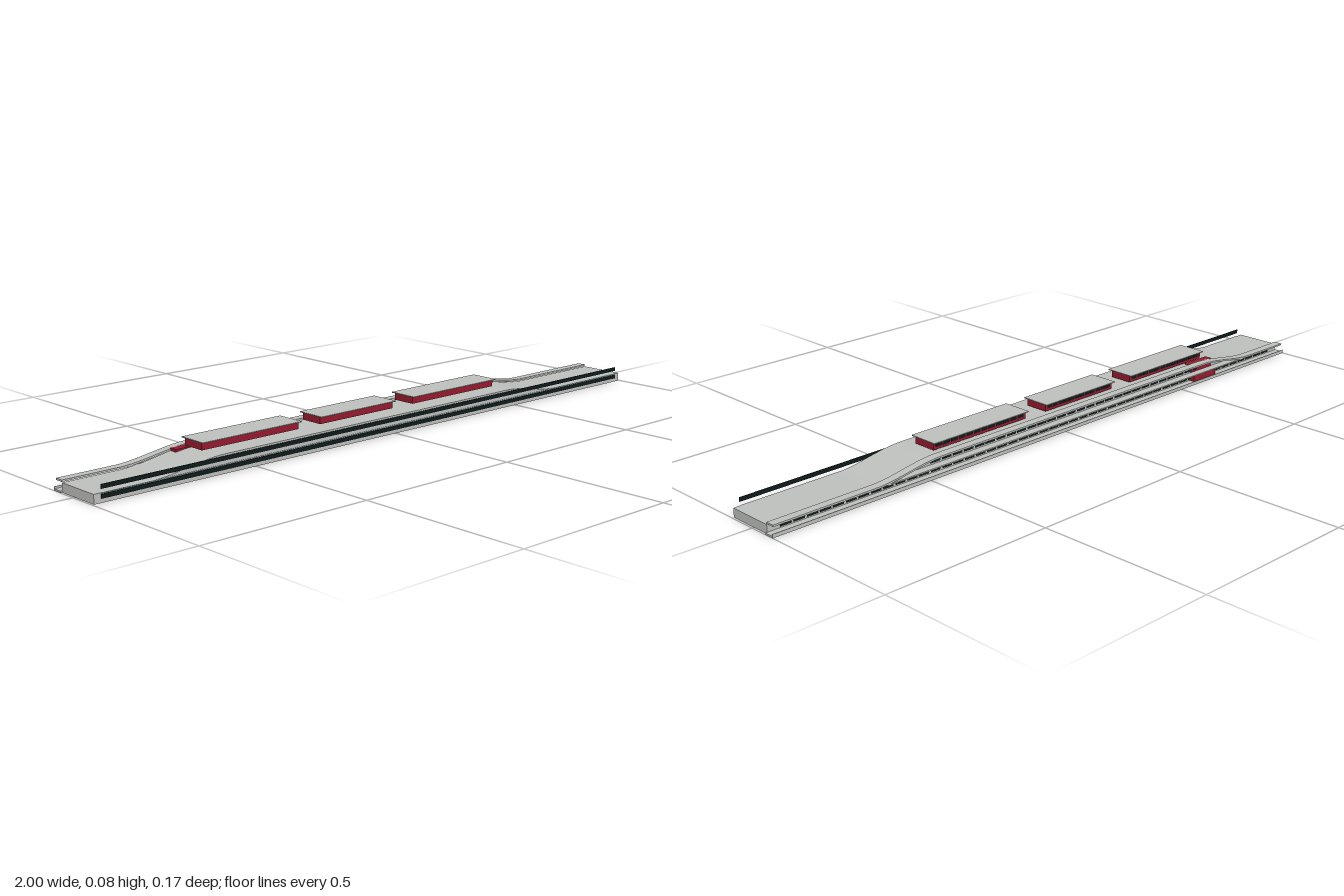
import * as THREE from 'three';

const material = (name, color, side = THREE.FrontSide) => {
  const m = new THREE.MeshStandardMaterial({ color, side });
  m.name = name;
  return m;
};

export function createModel() {
  const group = new THREE.Group();
  const concrete = material('pale concrete', 0xbfc1be);
  const red = material('deep red', 0x981a2e);
  const glass = material('dark glass', 0x101b1b);
  const trim = material('blue grey trim', 0x8fa3a5);

  // Box given by its minimum and maximum on each axis
  const box = (name, mat, x0, x1, y0, y1, z0, z1) => {
    const mesh = new THREE.Mesh(new THREE.BoxGeometry(x1 - x0, y1 - y0, z1 - z0), mat);
    mesh.position.set((x0 + x1) / 2, (y0 + y1) / 2, (z0 + z1) / 2);
    mesh.name = name;
    group.add(mesh);
    return mesh;
  };

  // Smooth rise of the roof: 0 at the ends, 1 along the middle
  const rise = x => THREE.MathUtils.smoothstep(x, -0.83, -0.6) * (1 - THREE.MathUtils.smoothstep(x, 0.46, 0.68));
  const xs = [-0.995];
  for (let i = 0; i <= 16; i++) xs.push(-0.83 + 0.23 * i / 16);
  for (let i = 0; i <= 16; i++) xs.push(0.46 + 0.22 * i / 16);
  xs.push(0.995);

  // Long section with a wavy top, extruded from back to front
  const wavy = (name, top, bottom, z0, z1) => {
    const points = xs.map(x => new THREE.Vector2(x, bottom(x)));
    points.push(...xs.slice().reverse().map(x => new THREE.Vector2(x, top(x))));
    const geometry = new THREE.ExtrudeGeometry(new THREE.Shape(points), { depth: z1 - z0, bevelEnabled: false });
    geometry.translate(0, 0, z0);
    const mesh = new THREE.Mesh(geometry, concrete);
    mesh.name = name;
    group.add(mesh);
  };

  // Main hall and the raised canopy along its back
  wavy('mainBody', x => 0.0255 + 0.0265 * rise(x), () => 0, -0.055, 0.083);
  wavy('backCanopy', x => 0.032 + 0.025 * rise(x), x => 0.027 + 0.025 * rise(x), -0.081, -0.055);

  // Ground terrace, its low kerb and the upper gallery floor
  box('terraceSlab', concrete, -1, 1, 0, 0.005, -0.084, -0.055);
  box('terraceKerb', concrete, -1, 1, 0.005, 0.0105, -0.0845, -0.0825);
  box('galleryFloor', concrete, -0.8, 0.64, 0.0255, 0.029, -0.08, -0.055);

  // Front window bands; the upper one runs on past the low ends of the roof
  for (const y of [0.011, 0.0355]) {
    box('frontWindowBand', glass, -0.975, 0.975, y, y + 0.0115, 0.083, 0.0855);
  }
  box('frontTrim', trim, -0.975, 0.975, 0.0235, 0.0255, 0.083, 0.0845);

  // Back windows on both storeys
  const windowRow = (name, x0, x1, count, y0, y1, z) => {
    const step = (x1 - x0) / count;
    for (let i = 0; i < count; i++) {
      const x = x0 + i * step;
      box(name, glass, x + step * 0.08, x + step * 0.92, y0, y1, z - 0.001, z + 0.0005);
    }
  };
  windowRow('lowerBackWindow', -0.96, 0.96, 48, 0.008, 0.021, -0.055);
  windowRow('upperBackWindow', -0.62, 0.48, 28, 0.033, 0.047, -0.055);

  // Red entrance blocks, one on each storey
  box('lowerEntrance', red, -0.67, -0.57, 0.005, 0.0255, -0.073, -0.055);
  box('upperEntrance', red, -0.67, -0.57, 0.029, 0.0535, -0.056, -0.032);

  // Rooftop pavilions with thin overhanging roofs
  for (const [x0, x1] of [[-0.64, -0.31], [-0.24, 0.04], [0.11, 0.455]]) {
    box('pavilionWalls', red, x0 + 0.004, x1 - 0.004, 0.0575, 0.0775, -0.038, 0.033);
    box('pavilionSoffit', trim, x0, x1, 0.0775, 0.0785, -0.0465, 0.0425);
    box('pavilionRoof', concrete, x0, x1, 0.0785, 0.08, -0.047, 0.043);
    windowRow('pavilionWindow', x0 + 0.01, x1 - 0.01, 12, 0.065, 0.076, -0.038);
  }

  return group;
}
